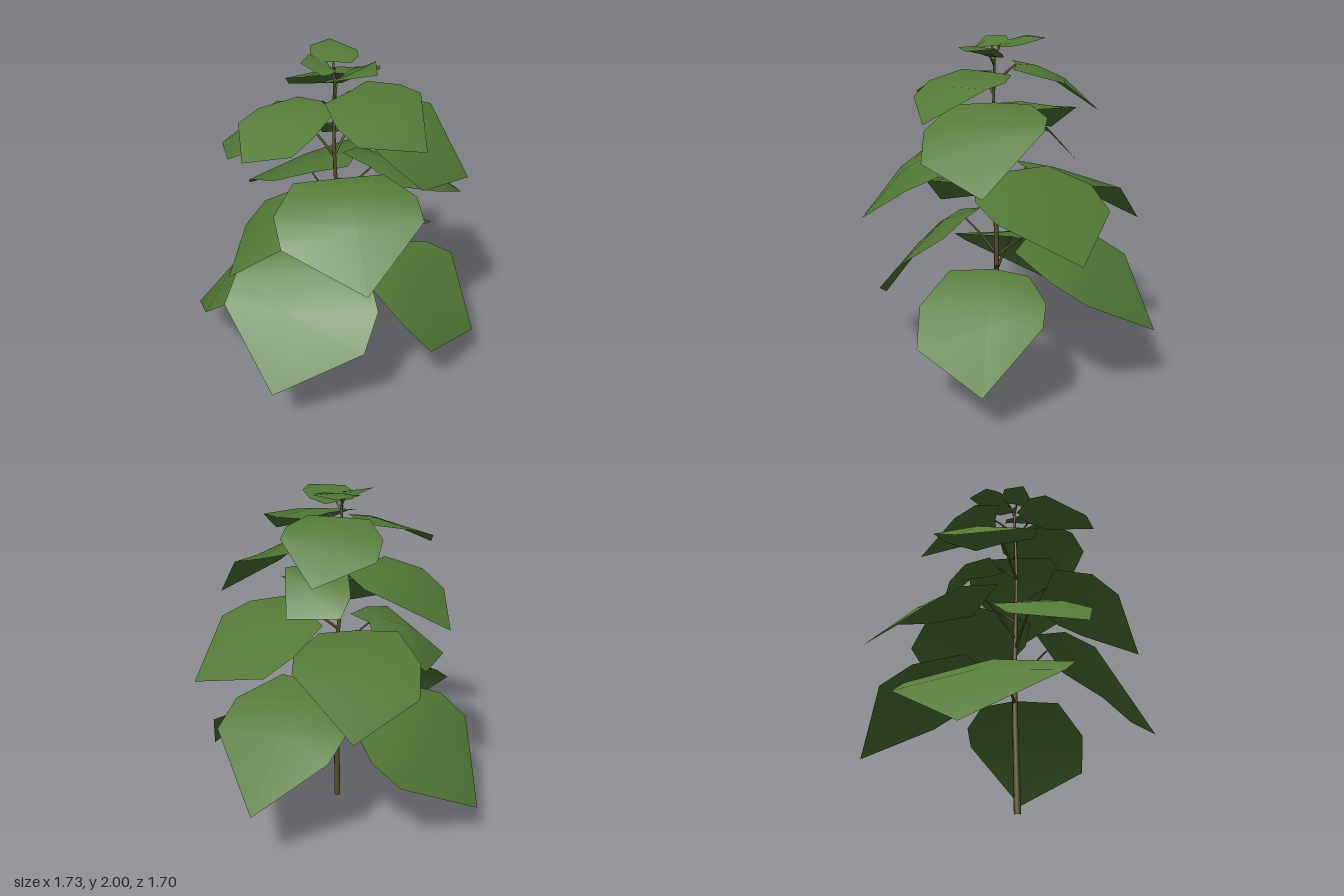
import * as THREE from 'three';

const V = (a) => new THREE.Vector3(...a);

// [base, tip, one side corner, other side corner, petiole rise]
const LEAVES = {
  lowFrontLeaf: [[-0.02, 0.92, 0.28], [-0.18, 0.33, 0.845], [-0.5, 0.7, 0.57], [0.3, 0.58, 0.72], 0.18],
  lowRightLeaf: [[-0.23, 0.74, 0.05], [-0.865, 0.21, -0.06], [-0.66, 0.52, 0.43], [-0.52, 0.52, -0.48], 0.1],
  lowLeftLeaf: [[0.28, 0.74, 0.05], [0.865, 0.26, 0], [0.64, 0.39, 0.41], [0.7, 0.61, -0.29], 0.08],
  lowBackLeaf: [[0.07, 0.89, -0.12], [0.2, 0.4, -0.85], [0.56, 0.69, -0.5], [-0.17, 0.7, -0.65], 0.16],
  midFrontLeaf: [[0.1, 1.385, 0.27], [0.32, 1.01, 0.795], [0.56, 1.27, 0.45], [-0.14, 1.18, 0.7], 0.14],
  midBackRightLeaf: [[-0.12, 1.22, -0.06], [-0.33, 0.88, -0.71], [-0.56, 0.98, -0.3], [0.04, 1.18, -0.62], 0.18],
  midBackLeftLeaf: [[0.22, 1.3, -0.03], [0.69, 0.96, -0.49], [0.73, 1.18, -0.05], [0.22, 1.1, -0.58], 0.16],
  midFrontRightLeaf: [[-0.1, 1.16, 0.2], [-0.47, 0.87, 0.55], [-0.48, 0.94, 0.12], [-0.1, 1.13, 0.55], 0.18],
  upperLeftLeaf: [[0.2, 1.67, 0.06], [0.76, 1.31, 0.01], [0.54, 1.41, 0.38], [0.52, 1.61, -0.26], 0.1],
  upperRightLeaf: [[-0.13, 1.58, 0.04], [-0.665, 1.33, -0.13], [-0.53, 1.42, 0.23], [-0.38, 1.53, -0.32], 0.16],
  upperBackLeaf: [[0.1, 1.55, -0.02], [0.17, 1.37, -0.38], [0.25, 1.59, -0.2], [-0.1, 1.37, -0.28], 0.12],
  crownBackLeaf: [[0.03, 1.85, -0.03], [-0.02, 1.6, -0.48], [0.22, 1.79, -0.32], [-0.28, 1.69, -0.22], 0.12],
  crownRightLeaf: [[-0.02, 1.78, 0.18], [-0.36, 1.58, 0.55], [-0.43, 1.69, 0.33], [-0.1, 1.65, 0.58], 0.1],
  crownLeftLeaf: [[0.12, 1.82, 0.12], [0.55, 1.62, 0.36], [0.22, 1.69, 0.5], [0.48, 1.8, 0.04], 0.1],
  topBackLeaf: [[0.02, 1.95, 0.06], [-0.04, 1.985, -0.18], [0.125, 1.97, -0.08], [-0.125, 1.985, -0.06], 0.08],
  topLeftLeaf: [[0.07, 1.89, 0.11], [0.27, 1.95, 0.2], [0.24, 1.96, 0.04], [0.08, 1.94, 0.28], 0.05],
  topRightLeaf: [[0.01, 1.94, 0.11], [-0.13, 1.975, 0.17], [-0.11, 1.98, 0.05], [-0.01, 1.93, 0.21], 0.05],
};

const stemPath = new THREE.CatmullRomCurve3([
  [0.06, 0, 0.09], [0.06, 0.75, 0.08], [0.06, 1, 0.085], [0.035, 1.4, 0.1], [0.03, 1.93, 0.09],
].map(V));

// Stem centre at a given height
function stemAt(y) {
  let lo = 0, hi = 1;
  for (let i = 0; i < 20; i++) {
    const mid = (lo + hi) / 2;
    if (stemPath.getPoint(mid).y < y) lo = mid; else hi = mid;
  }
  return stemPath.getPoint(lo);
}

// Tube whose radius shrinks from r0 to r1
function taperedTube(curve, steps, sides, r0, r1) {
  const geo = new THREE.TubeGeometry(curve, steps, 1, sides);
  const pos = geo.attributes.position;
  const p = new THREE.Vector3();
  for (let i = 0; i < pos.count; i++) {
    const t = Math.floor(i / (sides + 1)) / steps;
    const c = curve.getPointAt(t);
    p.fromBufferAttribute(pos, i).sub(c).multiplyScalar(r0 + (r1 - r0) * t).add(c);
    pos.setXYZ(i, p.x, p.y, p.z);
  }
  return geo;
}

// Broad pointed blade, arched along a midrib
function bladeGeometry(base, tip, cornerA, cornerB) {
  const axis = tip.clone().sub(base);
  // Make the first corner the one that gives an upward-facing winding
  const a = cornerA.clone().sub(base);
  if (axis.z * a.x - axis.x * a.z < 0) [cornerA, cornerB] = [cornerB, cornerA];
  const along = (t) => base.clone().addScaledVector(axis, t);
  const side = (corner, u, v, drop) => {
    const p = along(u).addScaledVector(corner.clone().sub(along(0.58)), v);
    p.y = base.y + (corner.y - base.y) * drop;
    return p;
  };
  const avgY = (cornerA.y + cornerB.y) / 2;
  const rib1 = along(0.25), rib2 = along(0.58);
  rib1.y = base.y + (avgY - base.y) * 0.2 + 0.03 * axis.length();
  rib2.y = avgY + 0.07 * axis.length();
  const points = [base, rib1, rib2, tip];
  for (const c of [cornerA, cornerB]) {
    points.push(side(c, -0.02, 0.66, 0.08), side(c, 0.31, 1.02, 0.48), c);
  }
  const index = [];
  for (const [s, flip] of [[4, false], [7, true]]) {
    for (const [i, j, k] of [[0, 1, s], [s, 1, s + 1], [s + 1, 1, 2], [s + 1, 2, s + 2], [s + 2, 2, 3]]) {
      index.push(...(flip ? [i, k, j] : [i, j, k]));
    }
  }
  const geo = new THREE.BufferGeometry().setFromPoints(points);
  geo.setIndex(index);
  geo.computeVertexNormals();
  return geo;
}

export function createModel() {
  const model = new THREE.Group();
  model.name = 'leafyPlant';
  const leafGreen = new THREE.MeshStandardMaterial({ color: 0x537a37, side: THREE.DoubleSide });
  leafGreen.name = 'leafGreen';
  const stemBrown = new THREE.MeshStandardMaterial({ color: 0x584f2b });
  stemBrown.name = 'stemBrown';

  const add = (parent, name, geo, mat) => {
    const mesh = new THREE.Mesh(geo, mat);
    mesh.name = name;
    parent.add(mesh);
  };

  add(model, 'stem', taperedTube(stemPath, 16, 8, 0.02, 0.006), stemBrown);

  // Each leaf is a blade on a curved petiole
  for (const [name, [b, t, l, r, rise]] of Object.entries(LEAVES)) {
    const leaf = new THREE.Group();
    leaf.name = name;
    const base = V(b);
    const root = stemAt(base.y - rise);
    const bend = root.clone().lerp(base, 0.5);
    bend.y += rise * 0.12;
    const curve = new THREE.QuadraticBezierCurve3(root, bend, base);
    add(leaf, 'petiole', taperedTube(curve, 5, 5, 0.009, 0.005), stemBrown);
    add(leaf, 'blade', bladeGeometry(base, V(t), V(l), V(r)), leafGreen);
    model.add(leaf);
  }
  return model;
}
